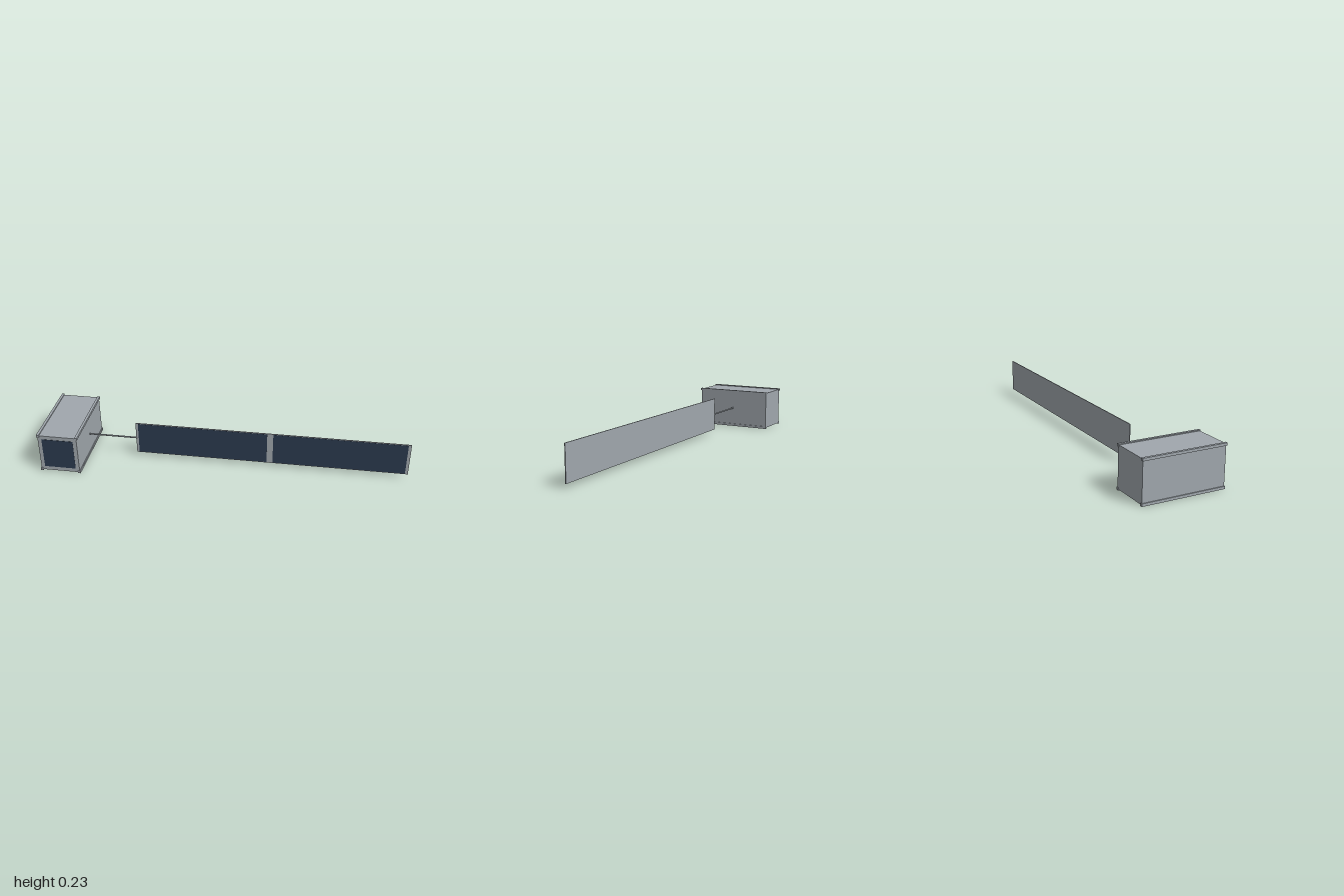
import * as THREE from 'three';

export function createModel() {
  const model = new THREE.Group();
  const metal = new THREE.MeshStandardMaterial({ color: 0xa0a7ad });
  metal.name = 'greyMetal';
  const solar = new THREE.MeshStandardMaterial({ color: 0x2b3a4e });
  solar.name = 'darkBlueCells';

  // Box given by its minimum and maximum corners
  function box(name, material, [x0, y0, z0], [x1, y1, z1]) {
    const mesh = new THREE.Mesh(new THREE.BoxGeometry(x1 - x0, y1 - y0, z1 - z0), material);
    mesh.position.set((x0 + x1) / 2, (y0 + y1) / 2, (z0 + z1) / 2);
    mesh.name = name;
    model.add(mesh);
  }

  // Main body with a solar plate on its front end
  box('body', metal, [-0.995, 0.005, -0.223], [-0.779, 0.223, 0.223]);
  box('bodySolarPlate', solar, [-0.974, 0.028, 0.223], [-0.8, 0.202, 0.2245]);

  // Four corner rails, slightly longer than the body
  const rail = 0.014;
  for (const x of [-1, -0.774 - rail]) {
    for (const y of [0, 0.228 - rail]) {
      box('cornerRail', metal, [x, y, -0.226], [x + rail, y + rail, 0.226]);
    }
  }

  // Boom from the body to the wing
  const boom = new THREE.Mesh(new THREE.CylinderGeometry(0.0045, 0.0045, 0.275, 16), metal);
  boom.rotation.z = Math.PI / 2;
  boom.position.set(-0.6425, 0.115, 0);
  boom.name = 'boom';
  model.add(boom);

  // Long wing with two fields of cells on its front
  box('wingPanel', metal, [-0.508, 0.021, -0.0028], [1, 0.21, 0.002]);
  for (const [x0, x1] of [[-0.494, 0.227], [0.26, 0.984]]) {
    box('wingCells', solar, [x0, 0.025, 0.002], [x1, 0.206, 0.0028]);
  }

  return model;
}
